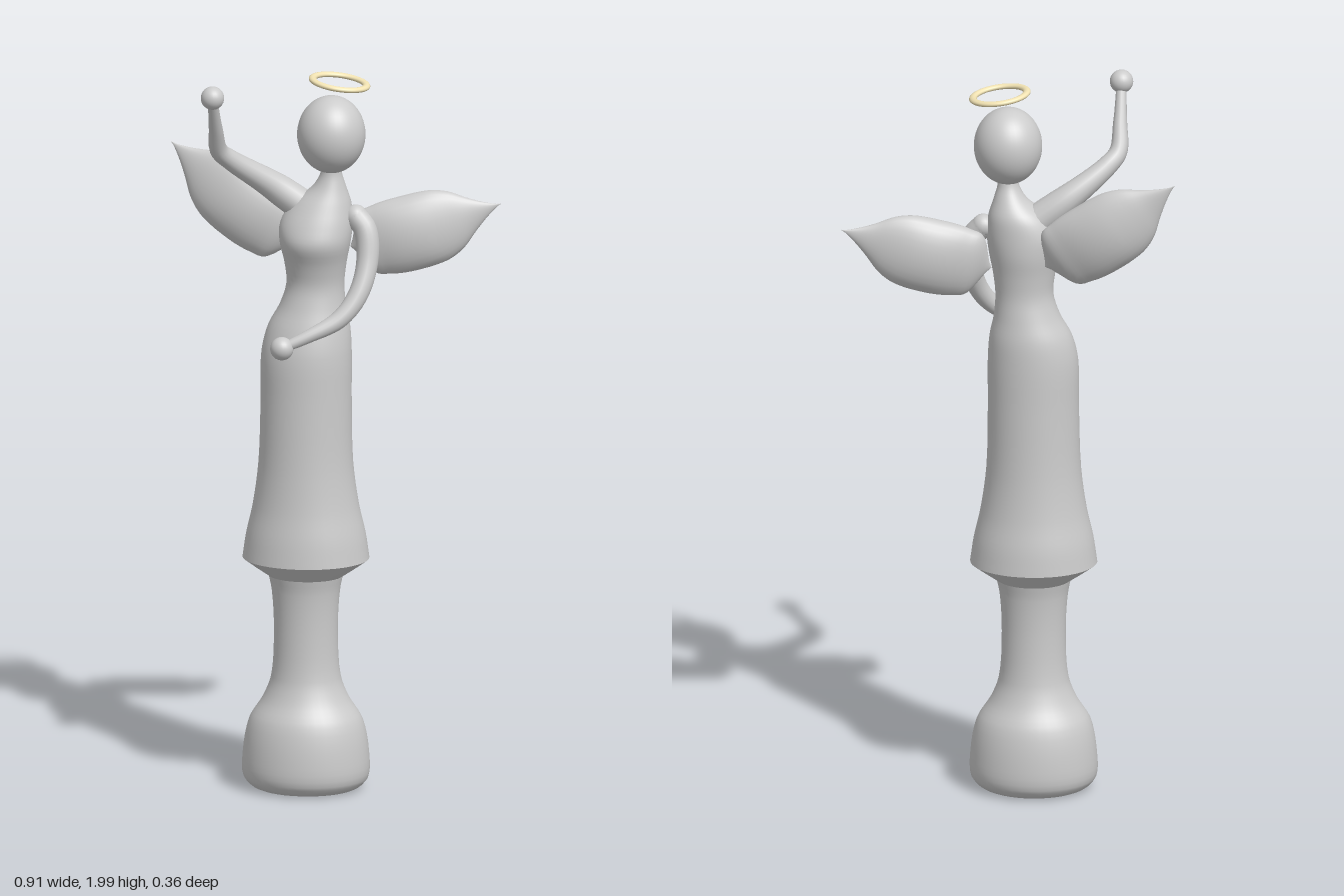
import * as THREE from 'three';

const grey = new THREE.MeshStandardMaterial({ color: 0xcccccc, side: THREE.DoubleSide });
const cream = new THREE.MeshStandardMaterial({ color: 0xf3e4b4 });

function add(group, name, geometry, material = grey) {
  const mesh = new THREE.Mesh(geometry, material);
  mesh.name = name;
  group.add(mesh);
  return mesh;
}

// Skin a list of elliptical rings: each has a centre c and two half-axes u, v
function loft(rings, sides = 40) {
  const pos = [], index = [];
  rings.forEach(({ c, u, v }) => {
    for (let j = 0; j < sides; j++) {
      const a = (j / sides) * Math.PI * 2;
      const p = c.clone().addScaledVector(u, Math.cos(a)).addScaledVector(v, Math.sin(a));
      pos.push(p.x, p.y, p.z);
    }
  });
  for (let i = 0; i < rings.length - 1; i++) {
    for (let j = 0; j < sides; j++) {
      const a = i * sides + j, b = i * sides + ((j + 1) % sides);
      index.push(a, a + sides, b, b, a + sides, b + sides);
    }
  }
  const g = new THREE.BufferGeometry();
  g.setAttribute('position', new THREE.Float32BufferAttribute(pos, 3));
  g.setIndex(index);
  g.computeVertexNormals();
  return g;
}

// Rows of [y, centre x, half width, centre z, half depth], smoothed between rows
function bodyPart(rows, steps = 4) {
  const place = new THREE.CatmullRomCurve3(rows.map(r => new THREE.Vector3(r[1], r[0], r[3])));
  const size = new THREE.CatmullRomCurve3(rows.map(r => new THREE.Vector3(r[2], r[0], r[4])));
  const n = (rows.length - 1) * steps, rings = [];
  for (let i = 0; i <= n; i++) {
    const c = place.getPoint(i / n), s = size.getPoint(i / n);
    rings.push({
      c,
      u: new THREE.Vector3(Math.max(s.x, 0.001), 0, 0),
      v: new THREE.Vector3(0, 0, -Math.max(s.z, 0.001)),
    });
  }
  return loft(rings);
}

// Tube that tapers along its path; radii are spread evenly from start to end
function taperedTube(points, radii) {
  const curve = new THREE.CatmullRomCurve3(points.map(p => new THREE.Vector3(...p)));
  const n = 40, sides = 16;
  const g = new THREE.TubeGeometry(curve, n, 1, sides);
  const pos = g.attributes.position, p = new THREE.Vector3();
  for (let i = 0; i <= n; i++) {
    const c = curve.getPointAt(i / n);
    const f = (i / n) * (radii.length - 1), k = Math.min(Math.floor(f), radii.length - 2);
    const r = THREE.MathUtils.lerp(radii[k], radii[k + 1], f - k);
    for (let j = 0; j <= sides; j++) {
      const id = i * (sides + 1) + j;
      p.fromBufferAttribute(pos, id).sub(c).multiplyScalar(r).add(c);
      pos.setXYZ(id, p.x, p.y, p.z);
    }
  }
  return g;
}

function arm(group, name, points, radii) {
  const part = new THREE.Group();
  part.name = name;
  add(part, 'sleeve', taperedTube(points, radii));
  add(part, 'shoulder', new THREE.SphereGeometry(radii[0], 20, 14)).position.set(...points[0]);
  add(part, 'hand', new THREE.SphereGeometry(0.032, 24, 16)).position.set(...points[points.length - 1]);
  group.add(part);
}

// Puffy leaf from root to tip, round at the root and pointed at the tip
function wing(root, tip, side) {
  const a = new THREE.Vector3(...root), b = new THREE.Vector3(...tip);
  const dir = b.clone().sub(a).normalize();
  const across = new THREE.Vector3(-dir.y, dir.x, 0).normalize().multiplyScalar(side);
  // [width, thickness] at even steps
  const shape = new THREE.SplineCurve([
    [0, 0], [0.082, 0.03], [0.098, 0.043], [0.104, 0.052], [0.105, 0.055],
    [0.104, 0.052], [0.098, 0.043], [0.08, 0.031], [0.048, 0.018], [0.02, 0.008], [0, 0],
  ].map(p => new THREE.Vector2(...p)));
  const rings = [], n = 40;
  for (let i = 0; i <= n; i++) {
    const t = i / n, s = shape.getPoint(t);
    const c = a.clone().lerp(b, t).addScaledVector(across, -0.01 * Math.sin(Math.PI * t));
    rings.push({
      c,
      u: across.clone().multiplyScalar(Math.max(s.x, 0.0005)),
      v: new THREE.Vector3(0, 0, side * Math.max(s.y, 0.0005)),
    });
  }
  return loft(rings, 28);
}

export function createModel() {
  const model = new THREE.Group();
  model.name = 'angelFigurine';

  // Turned foot and stem
  add(model, 'base', bodyPart([
    [0.008, -0.067, 0.001, -0.026, 0.001],
    [0.01, -0.067, 0.135, -0.026, 0.118],
    [0.04, -0.067, 0.17, -0.026, 0.148],
    [0.11, -0.067, 0.172, -0.026, 0.15],
    [0.2, -0.067, 0.155, -0.026, 0.135],
    [0.26, -0.067, 0.118, -0.026, 0.105],
    [0.32, -0.067, 0.095, -0.026, 0.087],
    [0.45, -0.067, 0.087, -0.025, 0.079],
    [0.56, -0.067, 0.093, -0.025, 0.083],
    [0.61, -0.067, 0.103, -0.025, 0.092],
  ]));

  // Underside of the skirt
  add(model, 'skirtHem', bodyPart([
    [0.6, -0.067, 0.098, -0.026, 0.088],
    [0.625, -0.067, 0.135, -0.026, 0.118],
    [0.652, -0.067, 0.173, -0.026, 0.15],
  ]));

  // Skirt, bodice and neck
  add(model, 'gown', bodyPart([
    [0.652, -0.067, 0.173, -0.026, 0.15],
    [0.72, -0.067, 0.163, -0.026, 0.143],
    [0.8, -0.067, 0.145, -0.025, 0.13],
    [0.92, -0.067, 0.129, -0.024, 0.119],
    [1.1, -0.066, 0.124, -0.024, 0.113],
    [1.23, -0.065, 0.123, -0.025, 0.11],
    [1.3, -0.059, 0.112, -0.03, 0.1],
    [1.36, -0.049, 0.09, -0.033, 0.084],
    [1.42, -0.042, 0.079, -0.033, 0.073],
    [1.48, -0.041, 0.085, -0.028, 0.08],
    [1.54, -0.041, 0.097, -0.021, 0.094],
    [1.59, -0.038, 0.099, -0.027, 0.087],
    [1.645, -0.024, 0.08, -0.035, 0.07],
    [1.69, -0.004, 0.046, -0.034, 0.046],
    [1.73, 0.002, 0.029, -0.03, 0.03],
    [1.78, 0.003, 0.026, -0.026, 0.028],
  ]));

  // Head
  const head = add(model, 'head', new THREE.SphereGeometry(1, 40, 28));
  head.scale.set(0.093, 0.107, 0.095);
  head.position.set(0.003, 1.838, -0.024);

  // Raised right arm and bent left arm
  arm(model, 'rightArm', [
    [-0.07, 1.625, -0.04], [-0.16, 1.69, -0.025], [-0.265, 1.768, 0.028],
    [-0.293, 1.8, 0.055], [-0.296, 1.87, 0.095], [-0.297, 1.97, 0.148],
  ], [0.045, 0.042, 0.034, 0.028, 0.023, 0.017, 0.013]);
  arm(model, 'leftArm', [
    [0.07, 1.61, -0.028], [0.098, 1.575, -0.018], [0.106, 1.49, 0.005],
    [0.085, 1.405, 0.042], [0.04, 1.345, 0.075], [-0.04, 1.302, 0.107], [-0.11, 1.27, 0.125],
  ], [0.032, 0.032, 0.029, 0.027, 0.024, 0.018, 0.013]);

  // Wings
  add(model, 'leftWing', wing([0.045, 1.51, -0.09], [0.45, 1.63, -0.147], 1));
  add(model, 'rightWing', wing([-0.1, 1.515, -0.09], [-0.456, 1.77, -0.147], -1));

  // Tilted halo
  const halo = add(model, 'halo', new THREE.TorusGeometry(0.074, 0.0105, 14, 56).rotateX(Math.PI / 2), cream);
  halo.scale.y = 0.7;
  halo.position.set(0.025, 1.983, -0.028);
  halo.rotation.z = -0.14;

  return model;
}
